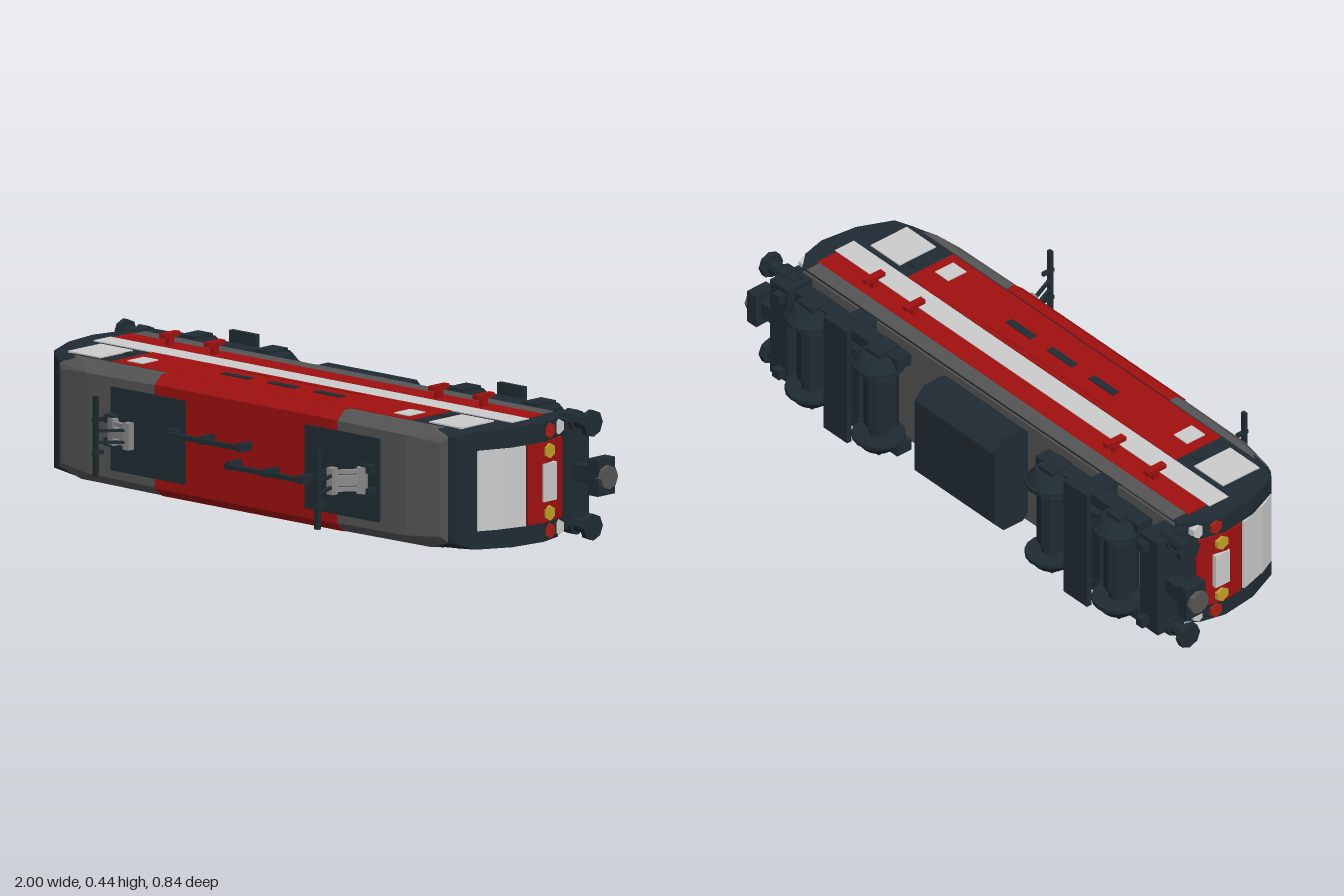
import * as THREE from 'three';
import { ConvexGeometry } from 'three/addons/geometries/ConvexGeometry.js';

const mat = (color) => new THREE.MeshStandardMaterial({ color, flatShading: true });

// Built upright (x length, y up, z width), then laid on its side.
export function createModel() {
  const dark = mat(0x1f2b33), red = mat(0xa01010), white = mat(0xcccccc), grey = mat(0x555555);
  const yellow = mat(0xc0a028), lampRed = mat(0xa82015), steel = mat(0x8a8a8a);
  const model = new THREE.Group();
  const loco = new THREE.Group();
  loco.name = 'locomotive';
  loco.rotation.x = Math.PI / 2;
  loco.position.y = 0.22;
  model.add(loco);

  const add = (name, geo, m) => {
    const mesh = new THREE.Mesh(geo, m);
    mesh.name = name;
    loco.add(mesh);
    return mesh;
  };
  const box = (name, m, x0, x1, y0, y1, z0, z1) => {
    const mesh = add(name, new THREE.BoxGeometry(Math.abs(x1 - x0), y1 - y0, Math.abs(z1 - z0)), m);
    mesh.position.set((x0 + x1) / 2, (y0 + y1) / 2, (z0 + z1) / 2);
  };
  // Bar between two points in the x-y plane, w wide in z
  const bar = (name, m, a, b, t, w, z = 0) => {
    const dx = b[0] - a[0], dy = b[1] - a[1];
    const mesh = add(name, new THREE.BoxGeometry(Math.hypot(dx, dy), t, w), m);
    mesh.position.set((a[0] + b[0]) / 2, (a[1] + b[1]) / 2, z);
    mesh.rotation.z = Math.atan2(dy, dx);
  };
  // Cylinder along x or z
  const rod = (name, m, axis, r1, r2, len, sides, x, y, z) => {
    const geo = new THREE.CylinderGeometry(r1, r2, len, sides);
    if (axis === 'x') geo.rotateZ(-Math.PI / 2); else geo.rotateX(Math.PI / 2);
    add(name, geo, m).position.set(x, y, z);
  };
  // Convex solid from [x, y, half width] points
  const hull = (name, m, pts) => add(name, new ConvexGeometry(
    pts.flatMap(([x, y, w]) => [new THREE.Vector3(x, y, w), new THREE.Vector3(x, y, -w)])), m);
  const mirrorX = (pts) => pts.flatMap(([x, y, w]) => [[x, y, w], [-x, y, w]]);

  // Body shell and roof
  hull('bodyShell', dark, mirrorX([
    [0.84, -0.25, 0.178], [0.885, -0.2, 0.178], [0.905, -0.12, 0.178], [0.89, 0, 0.178],
    [0.845, 0.11, 0.175], [0.80, 0.145, 0.16], [0.7, 0.15, 0.178], [0.64, 0.18, 0.15]]));
  box('floor', grey, -0.83, 0.83, -0.256, -0.24, -0.172, 0.172);
  hull('centreRoof', red, mirrorX([[0.365, 0.13, 0.182], [0.365, 0.16, 0.182], [0.365, 0.191, 0.155]]));
  box('roofHatch', red, -0.18, 0.18, 0.18, 0.194, -0.13, 0.13);

  // Side panels, stripes, windows and grilles
  for (const s of [-1, 1]) {
    const side = (name, m, x0, x1, y0, y1, out = 0.181) => box(name, m, x0, x1, y0, y1, s * 0.165, s * out);
    side('soleBar', grey, -0.82, 0.82, -0.25, -0.2);
    side('lowerSidePanel', red, -0.83, 0.83, -0.2, -0.127);
    side('sideStripe', white, -0.84, 0.84, -0.125, -0.052);
    side('upperSidePanel', red, -0.6, 0.6, -0.05, 0.125);
    for (const x of [-0.185, 0, 0.185]) {
      side('grille', dark, x - 0.055, x + 0.055, 0.018, 0.042, 0.184);
      side('ventStrip', red, x - 0.08, x + 0.08, -0.034, -0.027, 0.184);
    }
    for (const e of [-1, 1]) {
      side('cabSideWindow', white, e * 0.66, e * 0.79, -0.03, 0.11, 0.182);
      side('smallWindow', white, e * 0.505, e * 0.565, 0.025, 0.095, 0.184);
      side('doorWindow', dark, e * 0.62, e * 0.645, -0.005, 0.025, 0.184);
      // Outrigger handles
      for (const x of [0.45, 0.63]) {
        box('sideHandleStem', red, e * (x - 0.008), e * (x + 0.008), -0.166, -0.144, s * 0.17, s * 0.208);
        box('sideHandle', red, e * (x - 0.011), e * (x + 0.011), -0.19, -0.12, s * 0.206, s * 0.22);
      }
    }
  }

  // Everything repeated at both ends
  for (const e of [-1, 1]) {
    hull('cabRoof', grey, [
      [0.36, 0.13, 0.181], [0.36, 0.158, 0.181], [0.36, 0.188, 0.153], [0.64, 0.188, 0.15],
      [0.7, 0.15, 0.181], [0.74, 0.13, 0.18], [0.78, 0.156, 0.155], [0.76, 0.168, 0.14]]
      .map(([x, y, w]) => [e * x, y, w]));
    box('roofWell', dark, e * 0.24, e * 0.538, 0.175, 0.196, -0.125, 0.125);

    // Cab front
    bar('windscreen', white, [e * 0.845, 0.103], [e * 0.875, 0.04], 0.012, 0.24);
    bar('windscreen', white, [e * 0.87, 0.05], [e * 0.898, -0.047], 0.012, 0.24);
    bar('cabFrontPanel', red, [e * 0.896, -0.055], [e * 0.905, -0.125], 0.012, 0.24);
    bar('cabFrontPanel', red, [e * 0.905, -0.12], [e * 0.883, -0.215], 0.012, 0.24);
    box('frontPlate', white, e * 0.89, e * 0.915, -0.165, -0.11, -0.057, 0.057);
    for (const s of [-1, 1]) {
      rod('headlight', yellow, 'x', 0.023, 0.023, 0.03, 6, e * 0.9, -0.137, s * 0.093);
      rod('tailLamp', lampRed, 'x', 0.023, 0.023, 0.03, 6, e * 0.888, -0.15, s * 0.15);
      rod('markerLamp', white, 'x', 0.023, 0.023, 0.03, 6, e * 0.872, -0.205, s * 0.15);
      // Bumpers
      rod('bumperStem', dark, 'x', 0.022, 0.022, 0.12, 8, e * 0.87, -0.29, s * 0.155);
      rod('bumperCollar', dark, 'x', 0.032, 0.032, 0.04, 8, e * 0.86, -0.29, s * 0.155);
      rod('bumperHead', dark, 'x', 0.04, 0.04, 0.018, 8, e * 0.935, -0.29, s * 0.155);
      box('railGuard', dark, e * 0.8, e * 0.83, -0.375, -0.25, s * 0.12, s * 0.15);
    }

    // End beam and coupling
    box('endBeam', dark, e * 0.79, e * 0.87, -0.35, -0.24, -0.165, 0.165);
    box('couplingBar', dark, e * 0.85, e * 0.97, -0.32, -0.28, -0.025, 0.025);
    box('couplingHead', dark, e * 0.945, e * 0.985, -0.338, -0.265, -0.055, 0.055);
    rod('couplingFace', grey, 'x', 0.036, 0.036, 0.025, 8, e * 0.9875, -0.3, 0);

    // Bogie: frame, bolster bars and wheelsets
    box('bogieCentre', dark, e * 0.47, e * 0.61, -0.35, -0.25, -0.12, 0.12);
    box('bogieCrossBar', dark, e * 0.485, e * 0.59, -0.383, -0.366, -0.175, 0.175);
    for (const s of [-1, 1]) {
      box('bogieSideFrame', dark, e * 0.31, e * 0.77, -0.34, -0.285, s * 0.135, s * 0.172);
      box('bogieDamper', dark, e * 0.485, e * 0.59, -0.383, -0.366, s * 0.17, s * 0.2);
      box('bogieSpring', dark, e * 0.5, e * 0.58, -0.3, -0.25, s * 0.11, s * 0.175);
    }
    for (const x of [0.388, 0.688]) {
      rod('axle', dark, 'z', 0.03, 0.03, 0.32, 10, e * x, -0.345, 0);
      rod('axleMotor', dark, 'z', 0.052, 0.052, 0.18, 10, e * x, -0.335, 0);
      for (const s of [-1, 1]) {
        rod('wheelFlange', dark, 'z', 0.08, 0.08, 0.012, 16, e * x, -0.345, s * 0.128);
        rod('wheel', dark, 'z', s > 0 ? 0.05 : 0.078, s > 0 ? 0.078 : 0.05, 0.034, 16, e * x, -0.345, s * 0.15);
        box('axleBox', dark, e * (x - 0.03), e * (x + 0.03), -0.37, -0.29, s * 0.16, s * 0.18);
      }
    }

    // Roof power line on insulators
    const z = e * 0.03;
    bar('roofPowerLine', dark, [-e * 0.03, 0.245], [e * 0.28, 0.245], 0.014, 0.014, z);
    for (const x of [-0.02, 0.13, 0.265]) {
      box('insulator', dark, e * x - 0.009, e * x + 0.009, 0.18, 0.245, z - 0.012, z + 0.012);
    }
  }

  // Underfloor tank with chamfered lower edges
  hull('underfloorTank', dark, mirrorX([
    [0.178, -0.25, 0.14], [0.178, -0.275, 0.165], [0.178, -0.35, 0.165], [0.178, -0.387, 0.125]]));

  // Pantographs: one raised, one half folded
  const pantograph = (foot, hip, knee, tip) => {
    for (const z of [-0.035, 0.035]) {
      box('pantographFoot', dark, foot - 0.018, foot + 0.018, 0.185, 0.225, z - 0.012, z + 0.012);
      bar('pantographLowerArm', steel, hip, knee, 0.014, 0.012, z * 0.75);
      bar('pantographUpperArm', dark, knee, tip, 0.01, 0.008, z * 0.5);
      bar('pantographHorn', dark, [tip[0], tip[1] - 0.03], [tip[0], tip[1] + 0.012], 0.01, 0.012, z * 1.4);
    }
    bar('pantographBase', steel, [foot, 0.215], hip, 0.02, 0.08);
    bar('pantographLink', steel, hip, knee, 0.02, 0.03);
    box('pantographKnee', steel, knee[0] - 0.012, knee[0] + 0.012, knee[1] - 0.012, knee[1] + 0.012, -0.04, 0.04);
    box('pantographHead', dark, tip[0] - 0.008, tip[0] + 0.008, tip[1] - 0.006, tip[1] + 0.006, -0.12, 0.12);
  };
  pantograph(0.51, [0.485, 0.23], [0.44, 0.29], [0.49, 0.405]);
  pantograph(-0.52, [-0.49, 0.225], [-0.425, 0.24], [-0.49, 0.31]);

  return model;
}
